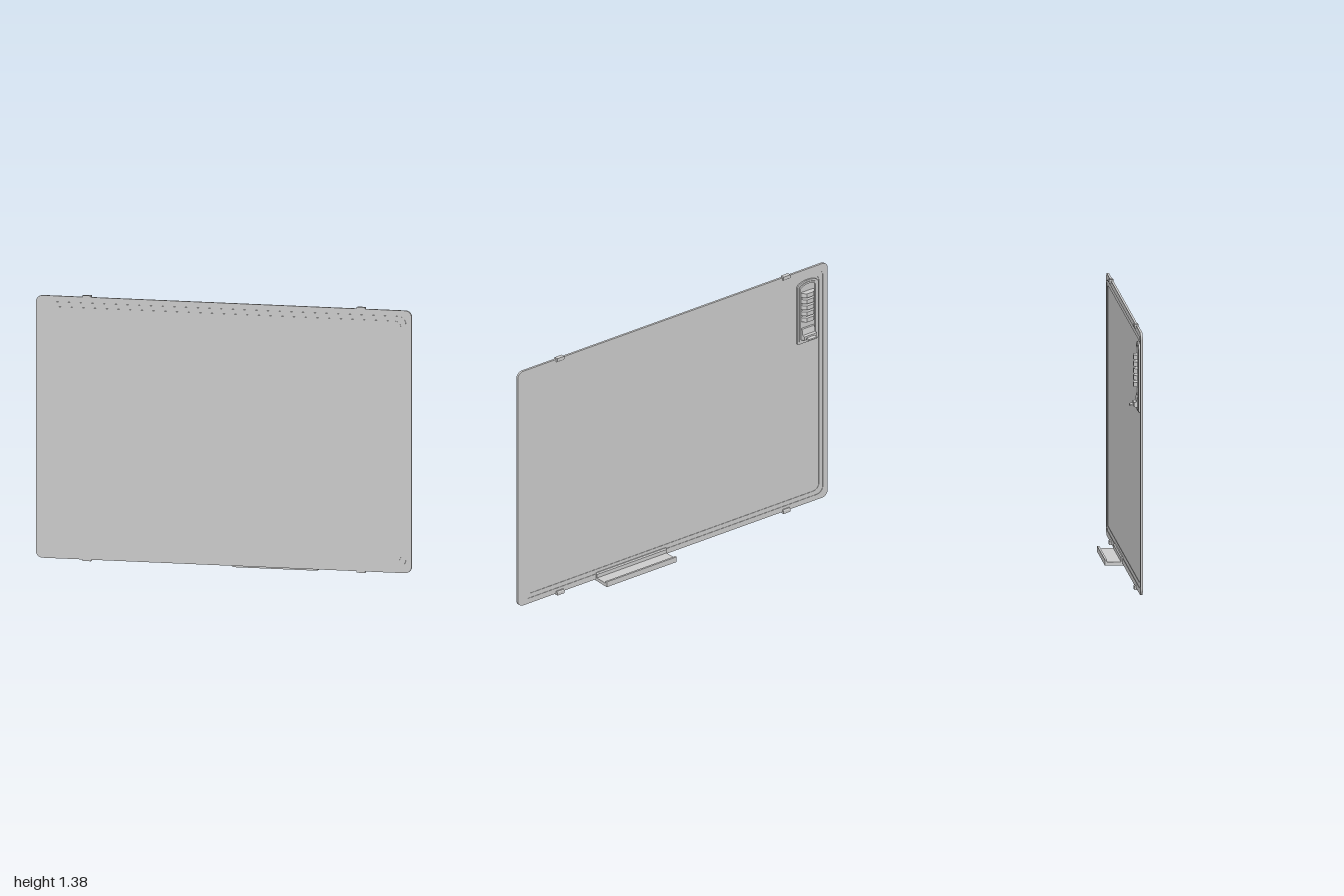
import * as THREE from 'three';

const grey = new THREE.MeshStandardMaterial({ color: 0xcccccc, flatShading: true });
const BOARD = { x: 0, y: 0.69, w: 2, h: 1.364 };

// Rounded rectangle centred on x, y
function roundedRect(Type, { x, y, w, h }, inset, r) {
  const a = w / 2 - inset, b = h / 2 - inset;
  const s = new Type();
  s.moveTo(x + a, y - b + r);
  s.absarc(x + a - r, y + b - r, r, 0, Math.PI / 2);
  s.absarc(x - a + r, y + b - r, r, Math.PI / 2, Math.PI);
  s.absarc(x - a + r, y - b + r, r, Math.PI, Math.PI * 1.5);
  s.absarc(x + a - r, y - b + r, r, Math.PI * 1.5, Math.PI * 2);
  return s;
}

// Flat plate between two depths, optionally with an opening
function plate(outer, z0, z1, hole) {
  if (hole) outer.holes.push(hole);
  return new THREE.ExtrudeGeometry(outer, { depth: z1 - z0, bevelEnabled: false, curveSegments: 8 })
    .translate(0, 0, z0);
}

const polygon = (points) => new THREE.Shape(points.map(([a, b]) => new THREE.Vector2(a, b)));

// Profile given as [z, y], drawn out along x
function alongX(points, width, x) {
  return new THREE.ExtrudeGeometry(polygon(points), { depth: width, bevelEnabled: false })
    .translate(0, 0, -width / 2).rotateY(-Math.PI / 2).translate(x, 0, 0);
}

// Profile given as [x, z], drawn out along y
function alongY(points, height, y) {
  return new THREE.ExtrudeGeometry(polygon(points), { depth: height, bevelEnabled: false })
    .translate(0, 0, -height / 2).rotateX(Math.PI / 2).translate(0, y, 0);
}

export function createModel() {
  const model = new THREE.Group();
  const add = (name, geometry, parent = model) => {
    const mesh = new THREE.Mesh(geometry, grey);
    mesh.name = name;
    parent.add(mesh);
  };

  // Pressed board: proud at the front, recessed at the back in two steps
  const rect = (Type, inset, r) => roundedRect(Type, BOARD, inset, r);
  add('boardRim', plate(rect(THREE.Shape, 0, 0.035), 0.038, 0.05, rect(THREE.Path, 0.03, 0.04)));
  add('boardStep', plate(rect(THREE.Shape, 0.03, 0.04), 0.04, 0.0525, rect(THREE.Path, 0.055, 0.035)));
  add('boardPanel', plate(rect(THREE.Shape, 0.055, 0.035), 0.042, 0.055));

  // Four hooked clips on the top and bottom edges
  const hook = [[0.05, 1.37], [0.05, 1.38], [0.028, 1.38], [0.028, 1.364], [0.032, 1.358], [0.038, 1.358], [0.038, 1.37]];
  for (const x of [-0.73, 0.73]) {
    add('topClip', alongX(hook, 0.045, x));
    add('bottomClip', alongX(hook.map(([z, y]) => [z, 1.38 - y]), 0.045, x));
  }

  // Tray at the bottom of the back, with a lip and a mounting flange
  add('tray', alongX([[0.042, 0], [-0.053, 0], [-0.053, 0.03], [-0.042, 0.03], [-0.042, 0.018],
    [0.03, 0.018], [0.03, 0.038], [0.035, 0.045], [0.042, 0.045]], 0.45, 0.27));

  // Latch housing on the back: arched frame around a shallow pocket
  const latch = new THREE.Group();
  latch.name = 'latch';
  model.add(latch);
  const frame = (Type, inset, arch) => {
    const l = -0.937 + inset, r = -0.803 - inset, b = 0.95 + inset, t = 1.31 - inset;
    const s = new Type();
    s.moveTo(l + 0.01, b);
    s.lineTo(r - 0.01, b);
    s.quadraticCurveTo(r, b, r, b + 0.01);
    s.lineTo(r, t - arch);
    s.quadraticCurveTo(r, t - arch * 0.5, r - 0.02, t - arch * 0.3);
    s.quadraticCurveTo((l + r) / 2, t + arch * 0.3, l + 0.02, t - arch * 0.3);
    s.quadraticCurveTo(l, t - arch * 0.5, l, t - arch);
    s.lineTo(l, b + 0.01);
    s.quadraticCurveTo(l, b, l + 0.01, b);
    return s;
  };
  add('latchFrame', plate(frame(THREE.Shape, 0, 0.03), 0.034, 0.044, frame(THREE.Path, 0.012, 0.025)), latch);
  add('latchInnerFrame', plate(frame(THREE.Shape, 0.01, 0.025), 0.031, 0.044, frame(THREE.Path, 0.02, 0.02)), latch);

  // Grip ribs, tapered towards the back
  const rib = [[-0.913, 0.044], [-0.827, 0.044], [-0.832, 0.028], [-0.848, 0.012], [-0.892, 0.012], [-0.908, 0.028]];
  for (let i = 0; i < 5; i++) add('gripRib', alongY(rib, 0.024, 1.09 + i * 0.0355), latch);

  // Sloped stop with a small ledge below the ribs
  add('latchStop', alongX([[0.044, 0.972], [0.02, 0.974], [0.012, 0.977], [0.012, 0.998], [0.025, 1.002],
    [0.031, 1.035], [0.044, 1.035]], 0.08, -0.87), latch);
  add('latchLedge', alongX([[0.013, 0.978], [-0.008, 0.979], [-0.008, 0.987], [0.013, 0.989]], 0.05, -0.87), latch);

  return model;
}
